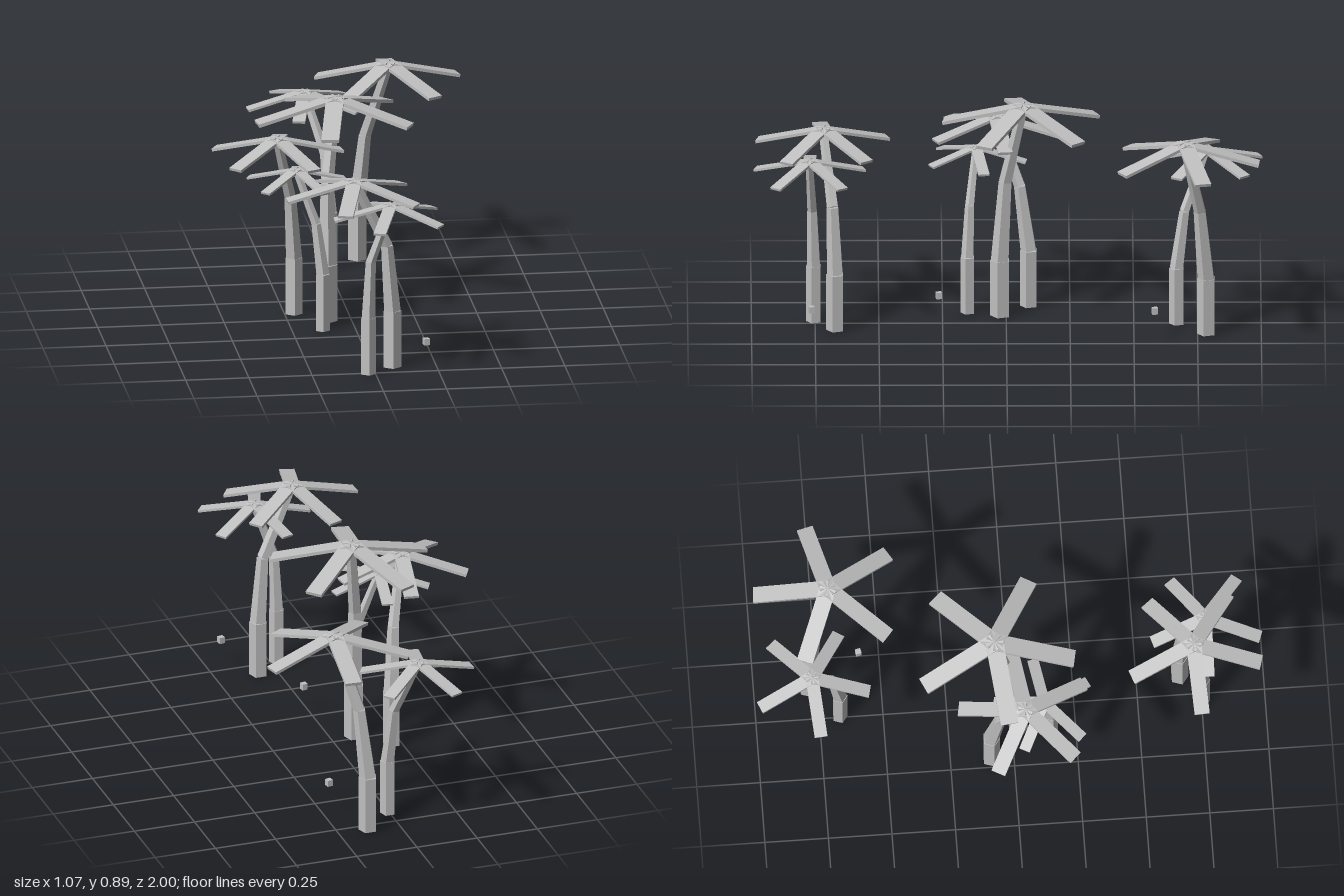
import * as THREE from 'three';

const bark = new THREE.MeshStandardMaterial({ color: 0xc0c0c0, flatShading: true });
bark.name = 'plain grey';

const BASE_HEIGHT = 0.23;
const DROOP = THREE.MathUtils.degToRad(14.5);

function addMesh(parent, name, geometry) {
  const mesh = new THREE.Mesh(geometry, bark);
  mesh.name = name;
  parent.add(mesh);
  return mesh;
}

// Five-sided tapered segment running from point a to point b
function addSegment(parent, name, a, b, radiusA, radiusB) {
  const dir = b.clone().sub(a);
  const mesh = addMesh(parent, name, new THREE.CylinderGeometry(radiusB, radiusA, dir.length(), 5));
  mesh.position.copy(a).add(b).multiplyScalar(0.5);
  mesh.quaternion.setFromUnitVectors(new THREE.Vector3(0, 1, 0), dir.normalize());
}

function makePalm({ base, mid, top, radius, reach, turn }) {
  const palm = new THREE.Group();
  palm.name = 'palmTree';
  const [x, z] = base;
  const thickness = reach * 0.042;
  const foot = new THREE.Vector3(x, 0, z);
  const collar = new THREE.Vector3(x, BASE_HEIGHT, z);
  const joint = new THREE.Vector3(...mid);
  const crown = new THREE.Vector3(...top);

  // Trunk: upright foot, then two leaning segments
  addSegment(palm, 'trunkBase', foot, collar, radius, radius);
  addSegment(palm, 'trunkMiddle', collar, joint, radius * 0.93, radius * 0.68);
  const underCrown = crown.clone();
  underCrown.y -= thickness * 1.2;
  addSegment(palm, 'trunkTop', joint, underCrown, radius * 0.66, radius * 0.5);

  // Crown: five drooping flat fronds meeting at the centre
  const length = reach / Math.cos(DROOP);
  const board = new THREE.BoxGeometry(length, thickness, reach * 0.22);
  board.translate(length / 2, -thickness / 2, 0);
  board.rotateZ(-DROOP);
  for (let i = 0; i < 5; i++) {
    const frond = addMesh(palm, 'frond', board);
    frond.position.copy(crown);
    frond.rotation.y = -THREE.MathUtils.degToRad(turn + i * 72);
  }
  return palm;
}

export function createModel() {
  const model = new THREE.Group();
  model.name = 'palmGrove';

  const palms = [
    // back pair
    { base: [0.005, -0.67], mid: [-0.01, 0.46, -0.7], top: [-0.08, 0.7, -0.785], radius: 0.031, reach: 0.23, turn: 31 },
    { base: [0.128, -0.785], mid: [0.155, 0.515, -0.76], top: [0.24, 0.83, -0.7], radius: 0.038, reach: 0.293, turn: 58 },
    // middle cluster
    { base: [-0.095, 0.022], mid: [-0.093, 0.555, 0.002], top: [-0.052, 0.89, -0.066], radius: 0.041, reach: 0.318, turn: 29 },
    { base: [-0.213, -0.09], mid: [-0.232, 0.49, -0.055], top: [-0.295, 0.765, 0.04], radius: 0.036, reach: 0.265, turn: 64 },
    { base: [-0.13, 0.15], mid: [-0.155, 0.435, 0.142], top: [-0.23, 0.657, 0.118], radius: 0.029, reach: 0.2, turn: 63 },
    // front pair
    { base: [0.077, 0.67], mid: [0.055, 0.5, 0.68], top: [-0.077, 0.787, 0.717], radius: 0.037, reach: 0.27, turn: 33 },
    { base: [-0.028, 0.754], mid: [-0.02, 0.46, 0.76], top: [0.06, 0.7, 0.772], radius: 0.031, reach: 0.225, turn: 37 },
  ];
  palms.forEach((palm) => model.add(makePalm(palm)));

  // Small falling fruit
  const fruitSpots = [[0.03, 0.265], [0.2, 0.765], [0.22, -0.582]];
  fruitSpots.forEach(([x, z]) => {
    const fruit = addMesh(model, 'fruit', new THREE.BoxGeometry(0.022, 0.026, 0.022));
    fruit.position.set(x, 0.126, z);
    fruit.rotation.y = 0.2;
  });

  return model;
}
